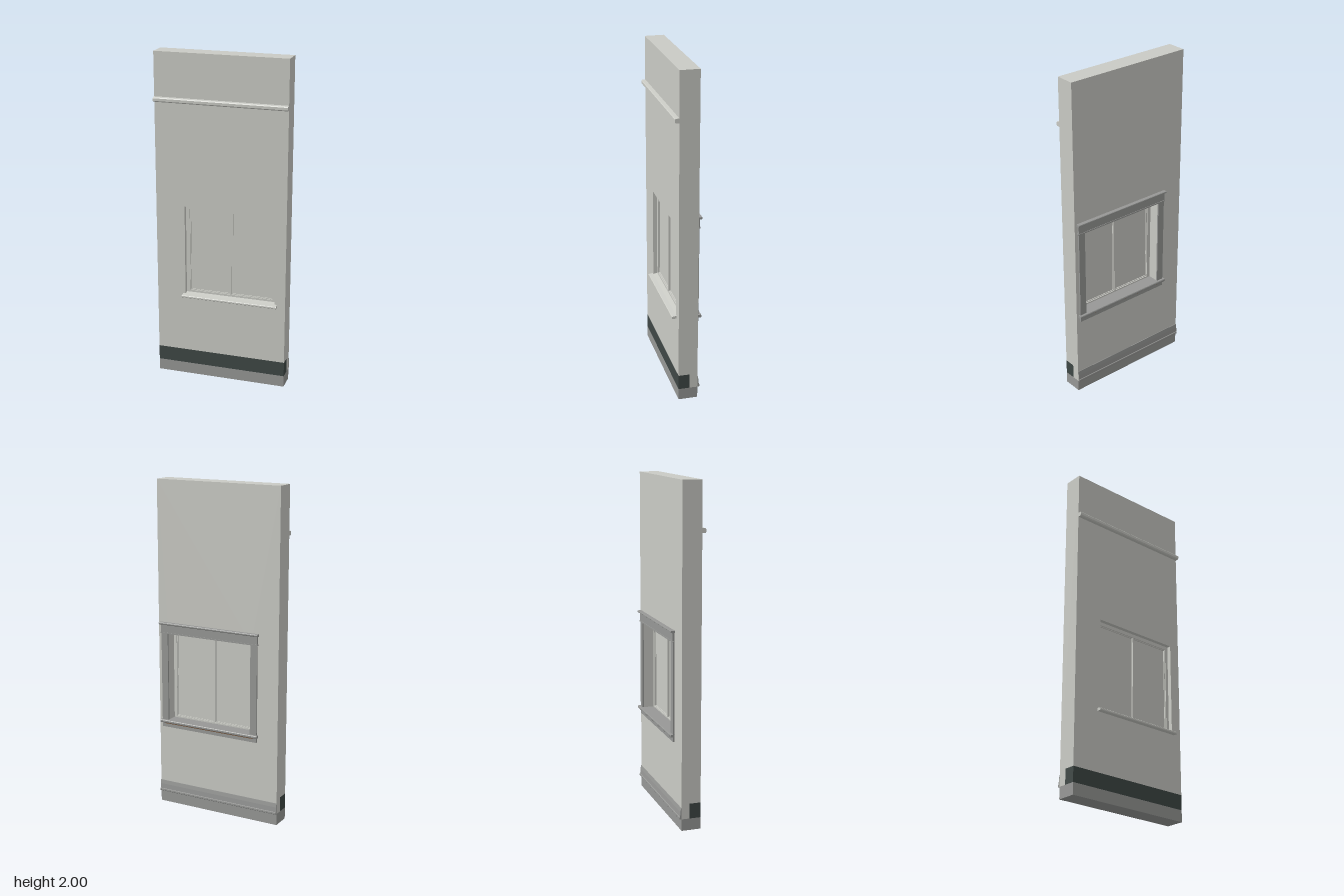
import * as THREE from 'three';

const mat = (name, color) => {
  const m = new THREE.MeshStandardMaterial({ color });
  m.name = name;
  return m;
};

export function createModel() {
  const plaster = mat('plaster', 0xcacbc5);
  const trim = mat('grey trim', 0x979896);
  const dark = mat('dark insulation', 0x3e4745);
  const wood = mat('wood', 0x7a5233);

  const model = new THREE.Group();
  model.name = 'wallPanel';

  const add = (name, geometry, material, parent = model) => {
    const m = new THREE.Mesh(geometry, material);
    m.name = name;
    parent.add(m);
    return m;
  };
  // Box given by its limits on each axis
  const box = (name, material, x0, x1, y0, y1, z0, z1, parent) => {
    const g = new THREE.BoxGeometry(x1 - x0, y1 - y0, z1 - z0);
    g.translate((x0 + x1) / 2, (y0 + y1) / 2, (z0 + z1) / 2);
    return add(name, g, material, parent);
  };
  // Moulding: a [z, y] profile swept along x
  const moulding = (name, material, x0, x1, points, parent) => {
    const shape = new THREE.Shape(points.map(([z, y]) => new THREE.Vector2(z, y)));
    const g = new THREE.ExtrudeGeometry(shape, { depth: x1 - x0, bevelEnabled: false });
    g.rotateY(-Math.PI / 2).translate(x1, 0, 0);
    return add(name, g, material, parent);
  };
  const rect = (T, x0, x1, y0, y1) => new T([[x0, y0], [x1, y0], [x1, y1], [x0, y1]]
    .map(([x, y]) => new THREE.Vector2(x, y)));
  // Rectangular ring: outer limits, with one or more holes
  const plate = (name, material, outer, holes, z0, z1, parent) => {
    const s = rect(THREE.Shape, ...outer);
    holes.forEach(h => s.holes.push(rect(THREE.Path, ...h)));
    const g = new THREE.ExtrudeGeometry(s, { depth: z1 - z0, bevelEnabled: false });
    g.translate(0, 0, z0);
    return add(name, g, material, parent);
  };

  const W = 0.4, BACK = -0.06, FRONT = 0.055;
  const L = -0.223, R = 0.335, B = 0.53, T = 1.087; // window opening

  // Wall with opening, foundation and dark band
  plate('wall', plaster, [-W, W, 0.16, 2], [[L, R, B, T]], BACK, FRONT);
  box('wallFoot', plaster, -W, W, 0.07, 0.16, BACK, -0.012);
  box('foundation', trim, -W, W, 0, 0.07, BACK, FRONT);
  box('darkBand', dark, -W, W, 0.07, 0.16, -0.012, FRONT);

  // Front string course and sloping sill
  moulding('stringCourse', plaster, -W, W, [
    [FRONT, 1.71], [0.073, 1.71], [0.079, 1.716], [0.079, 1.731], [0.075, 1.736], [FRONT, 1.738]]);
  moulding('outerSill', plaster, L, R, [
    [0.02, B], [FRONT, B - 0.005], [FRONT, B + 0.002], [0.02, B + 0.01]]);
  moulding('outerSillNose', plaster, -0.238, 0.351, [
    [FRONT, 0.515], [0.08, 0.515], [0.083, 0.518], [0.083, 0.526], [0.08, 0.529], [FRONT, 0.533]]);

  // Window with two panes
  const win = new THREE.Group();
  win.name = 'window';
  model.add(win);
  const panes = [[-0.2, 0.051, 0.55, 1.066], [0.062, 0.315, 0.55, 1.066]];
  plate('windowFrame', plaster, [L, R, B, T], panes, 0.002, 0.03, win);
  panes.forEach(([x0, x1, y0, y1]) => {
    const b = 0.005;
    plate('sashBead', plaster, [x0, x1, y0, y1], [[x0 + b, x1 - b, y0 + b, y1 - b]], 0.008, 0.024, win);
    box('pane', plaster, x0, x1, y0, y1, 0.013, 0.018, win);
  });

  // Casing around the opening on the back
  const casing = new THREE.Group();
  casing.name = 'casing';
  model.add(casing);
  box('sideCasing', trim, L - 0.043, L, 0.54, 1.087, -0.069, BACK, casing);
  box('sideCasing', trim, R, R + 0.043, 0.54, 1.087, -0.069, BACK, casing);
  box('headCasing', trim, L - 0.045, R + 0.045, 1.087, 1.137, -0.071, BACK, casing);
  box('headBead', trim, L - 0.048, R + 0.048, 1.083, 1.09, -0.074, BACK, casing);
  moulding('headCap', trim, -0.274, 0.387, [
    [BACK, 1.137], [BACK, 1.151], [-0.082, 1.151], [-0.084, 1.148], [-0.084, 1.142], [-0.077, 1.137]], casing);

  // Inner stool with wood underside and apron
  box('stoolBoard', trim, L, R, B, 0.541, BACK, 0.002, casing);
  moulding('stoolNose', trim, -0.274, 0.387, [
    [BACK, 0.524], [BACK, 0.541], [-0.081, 0.541], [-0.084, 0.537], [-0.084, 0.528], [-0.081, 0.524]], casing);
  box('stoolUnderside', wood, L - 0.02, R + 0.02, 0.518, 0.524, -0.074, BACK, casing);
  box('apron', trim, L - 0.043, R + 0.043, 0.495, 0.524, -0.069, BACK, casing);

  // Stepped skirting along the back
  moulding('skirting', trim, -W, W, [
    [BACK, 0.07], [BACK, 0.138], [-0.063, 0.138], [-0.067, 0.115], [-0.069, 0.085],
    [-0.073, 0.083], [-0.073, 0.073], [-0.071, 0.07]]);

  return model;
}
